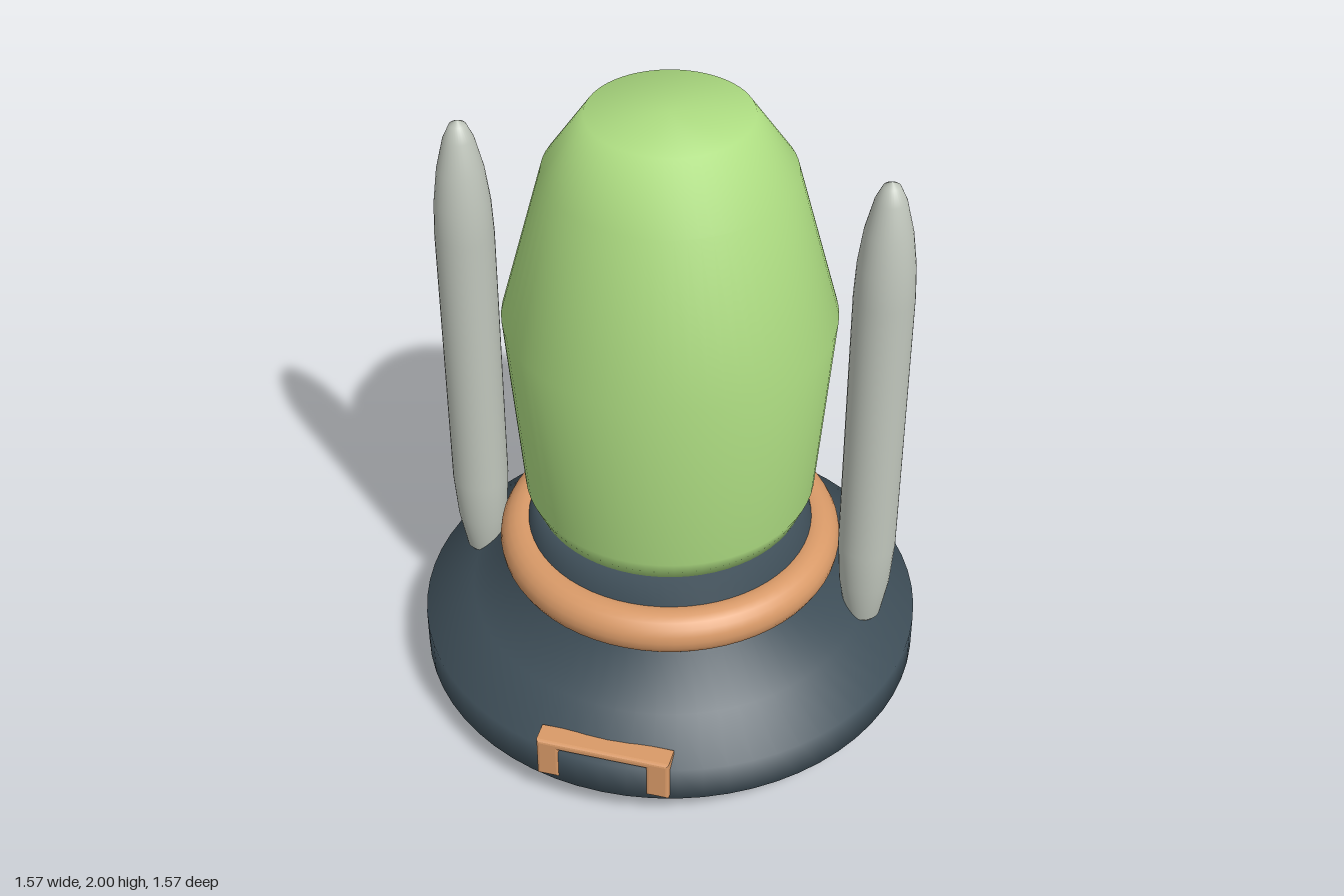
import * as THREE from 'three';

const paint = (color) => new THREE.MeshStandardMaterial({ color });

// Smooth body of revolution from [radius, height] pairs, bottom to top
function turned(name, profile, material, segments = 64) {
  const points = profile.map(([r, y]) => new THREE.Vector2(r, y));
  const mesh = new THREE.Mesh(new THREE.LatheGeometry(points, segments), material);
  mesh.name = name;
  return mesh;
}

export function createModel() {
  const model = new THREE.Group();
  model.name = 'capsuleOnBase';
  const dark = paint(0x3e4e58);
  const green = paint(0xaedd82);
  const copper = paint(0xd99a68);
  const silver = paint(0xc0c6bc);

  // Wide foot narrowing into the neck
  model.add(turned('base', [
    [0, 0], [0.67, 0], [0.785, 0.1], [0.785, 0.22], [0.63, 0.3],
    [0.5, 0.42], [0.445, 0.56], [0.415, 0.66], [0, 0.66],
  ], dark));

  // Tall faceted-profile body with a flat top
  model.add(turned('body', [
    [0, 0.655], [0.415, 0.655], [0.447, 0.73], [0.495, 1.34],
    [0.365, 1.82], [0.24, 2], [0, 2],
  ], green));

  // Collar around the neck
  const collar = new THREE.Mesh(new THREE.TorusGeometry(0.463, 0.072, 20, 64), copper);
  collar.name = 'collar';
  collar.rotation.x = Math.PI / 2;
  collar.position.y = 0.494;
  model.add(collar);

  // Slim upright rods on both sides
  for (const side of [-1, 1]) {
    const rod = turned(side > 0 ? 'leftRod' : 'rightRod', [
      [0, 0.275], [0.04, 0.28], [0.056, 0.3], [0.078, 0.43], [0.088, 0.58],
      [0.089, 1.5], [0.084, 1.61], [0.07, 1.72], [0.046, 1.82], [0.025, 1.865], [0, 1.88],
    ], silver, 32);
    rod.position.x = side * 0.628;
    model.add(rod);
  }

  // Arched handle on the front rim, with softened edges
  const b = 0.01;
  const arch = new THREE.Shape([
    [-0.205, 0.115], [-0.135, 0.115], [-0.135, 0.227], [0.135, 0.227],
    [0.135, 0.115], [0.205, 0.115], [0.205, 0.255], [-0.205, 0.255],
  ].map(([x, y]) => new THREE.Vector2(x, y)));
  const handleGeometry = new THREE.ExtrudeGeometry(arch, {
    depth: 0.055, bevelEnabled: true, bevelSize: b, bevelOffset: -b, bevelThickness: b, bevelSegments: 3,
  });
  const handle = new THREE.Mesh(handleGeometry, copper);
  handle.name = 'handle';
  handle.position.z = 0.711;
  model.add(handle);

  return model;
}
